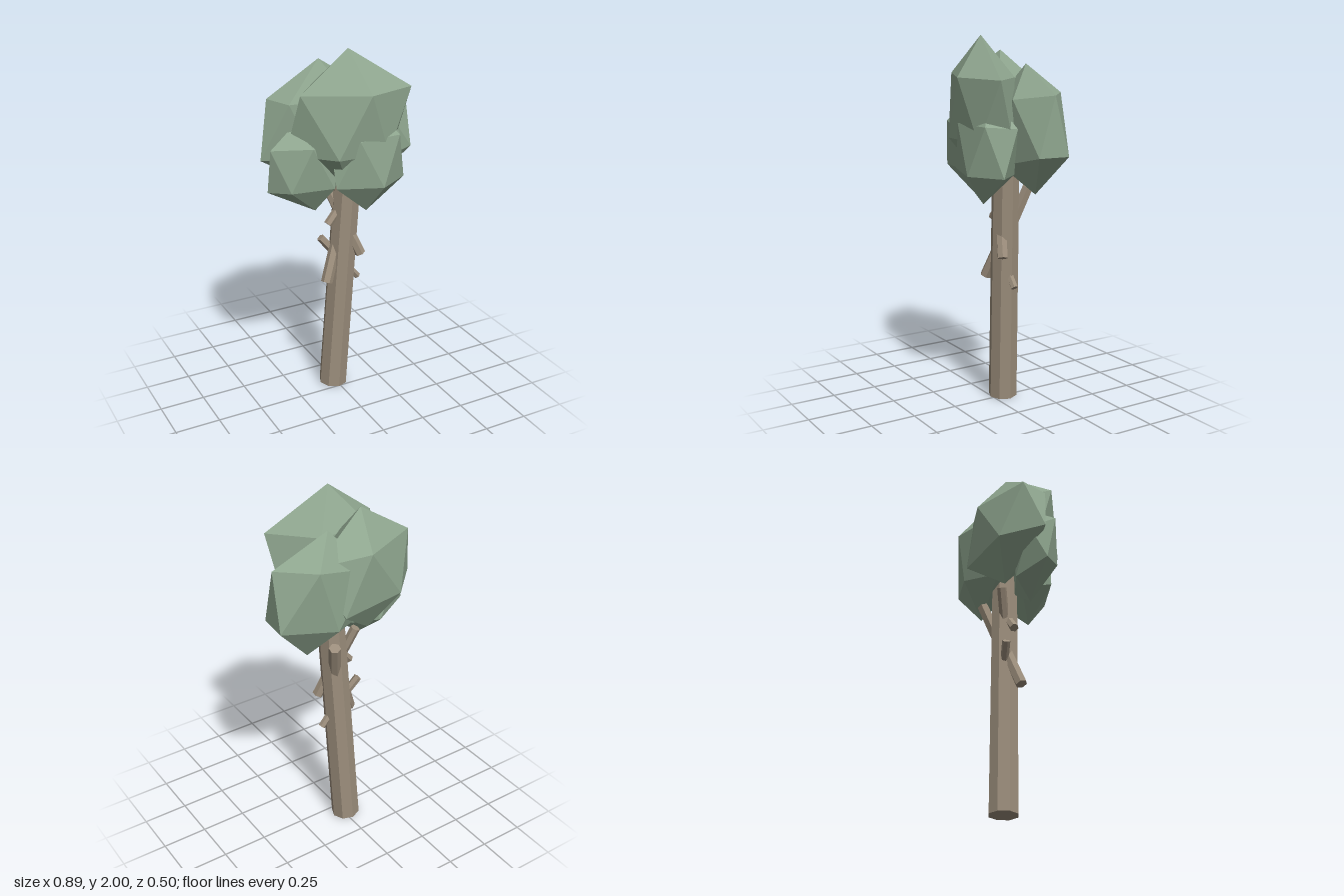
import * as THREE from 'three';

const leaf = new THREE.MeshStandardMaterial({ color: 0x8fa68f });
leaf.name = 'sage leaf green';
const bark = new THREE.MeshStandardMaterial({ color: 0x9c8e7c });
bark.name = 'bark brown';

function flatMesh(geometry, material, name) {
  const g = geometry.index ? geometry.toNonIndexed() : geometry;
  g.computeVertexNormals();
  const mesh = new THREE.Mesh(g, material);
  mesh.name = name;
  return mesh;
}

// Stretched icosahedron: apex and upper ring are offsets from the centre, the lower half mirrors them through it
function leafClump(name, centre, apex, ring) {
  const c = new THREE.Vector3(...centre);
  const offsets = [apex, ...ring].map(p => new THREE.Vector3(...p));
  const up = offsets.map(p => c.clone().add(p));
  const down = offsets.map(p => c.clone().sub(p));
  const U = i => up[1 + (i % 5)];
  const L = i => down[1 + ((i + 3) % 5)];
  const points = [];
  for (let i = 0; i < 5; i++) {
    points.push(
      up[0], U(i + 1), U(i),
      U(i), U(i + 1), L(i),
      L(i), U(i + 1), L(i + 1),
      down[0], L(i), L(i + 1));
  }
  return flatMesh(new THREE.BufferGeometry().setFromPoints(points), leaf, name);
}

// Faceted cylinder running from point a to point b
function limb(name, a, b, r0, r1, sides) {
  const from = new THREE.Vector3(...a), to = new THREE.Vector3(...b);
  const dir = to.clone().sub(from);
  const mesh = flatMesh(new THREE.CylinderGeometry(r1, r0, dir.length(), sides), bark, name);
  mesh.position.copy(from).add(to).multiplyScalar(0.5);
  mesh.quaternion.setFromUnitVectors(new THREE.Vector3(0, 1, 0), dir.normalize());
  return mesh;
}

export function createModel() {
  const tree = new THREE.Group();
  tree.name = 'tree';

  // Leaning trunk
  tree.add(limb('trunk', [-0.015, 0.005, -0.068], [0.075, 1.5, -0.03], 0.08, 0.073, 8));

  // Cut branch stubs: outer end, inner end, radius
  const stubs = [
    [[-0.085, 0.69, 0.0], [0.0, 0.9, -0.05], 0.032],
    [[-0.08, 0.925, -0.085], [0.01, 0.81, -0.06], 0.022],
    [[0.115, 0.83, 0.015], [0.06, 0.96, -0.01], 0.03],
    [[0.132, 0.66, -0.05], [0.05, 0.76, -0.05], 0.02],
    [[-0.06, 1.02, -0.03], [0.03, 1.12, -0.04], 0.024],
    [[0.11, 1.2, -0.145], [0.06, 0.98, -0.07], 0.032],
    [[-0.05, 1.25, -0.1], [0.02, 1.06, -0.05], 0.026],
  ];
  stubs.forEach(([outer, inner, r], i) =>
    tree.add(limb(`branchStub${i + 1}`, outer, inner, r, r, 6)));

  // Foliage clumps, flattened from front to back
  tree.add(leafClump('frontTopFoliage', [0.005, 1.625, 0.08], [-0.005, 0.375, 0],
    [[0.32, 0.16, 0.08], [0.045, 0.165, 0.17], [-0.28, 0.17, 0.02], [-0.17, 0.165, -0.12], [0.12, 0.16, -0.13]]));
  tree.add(leafClump('backLeftFoliage', [0.19, 1.52, -0.107], [-0.06, 0.335, -0.008],
    [[0.245, 0.19, 0.017], [0.04, 0.16, 0.137], [-0.255, 0.12, 0.063], [-0.24, 0.12, -0.107], [0.07, 0.19, -0.138]]));
  tree.add(leafClump('backRightFoliage', [-0.1, 1.58, -0.1], [0.02, 0.34, 0.01],
    [[-0.265, 0.16, -0.01], [0.055, 0.15, -0.148], [0.345, 0.13, -0.08], [0.16, 0.14, 0.105], [-0.21, 0.16, 0.145]]));
  tree.add(leafClump('lowRightFoliage', [-0.22, 1.38, 0.02], [-0.06, 0.24, 0],
    [[0.2, 0.1, 0.02], [0.0, 0.14, 0.11], [-0.2, 0.14, 0.03], [-0.13, 0.1, -0.09], [0.11, 0.09, -0.08]]));
  tree.add(leafClump('lowFrontFoliage', [0.1, 1.42, 0.11], [0.01, 0.29, -0.01],
    [[0.21, 0.12, -0.06], [0.14, 0.13, 0.09], [-0.1, 0.13, 0.11], [-0.21, 0.13, -0.02], [-0.03, 0.13, -0.13]]));

  return tree;
}
